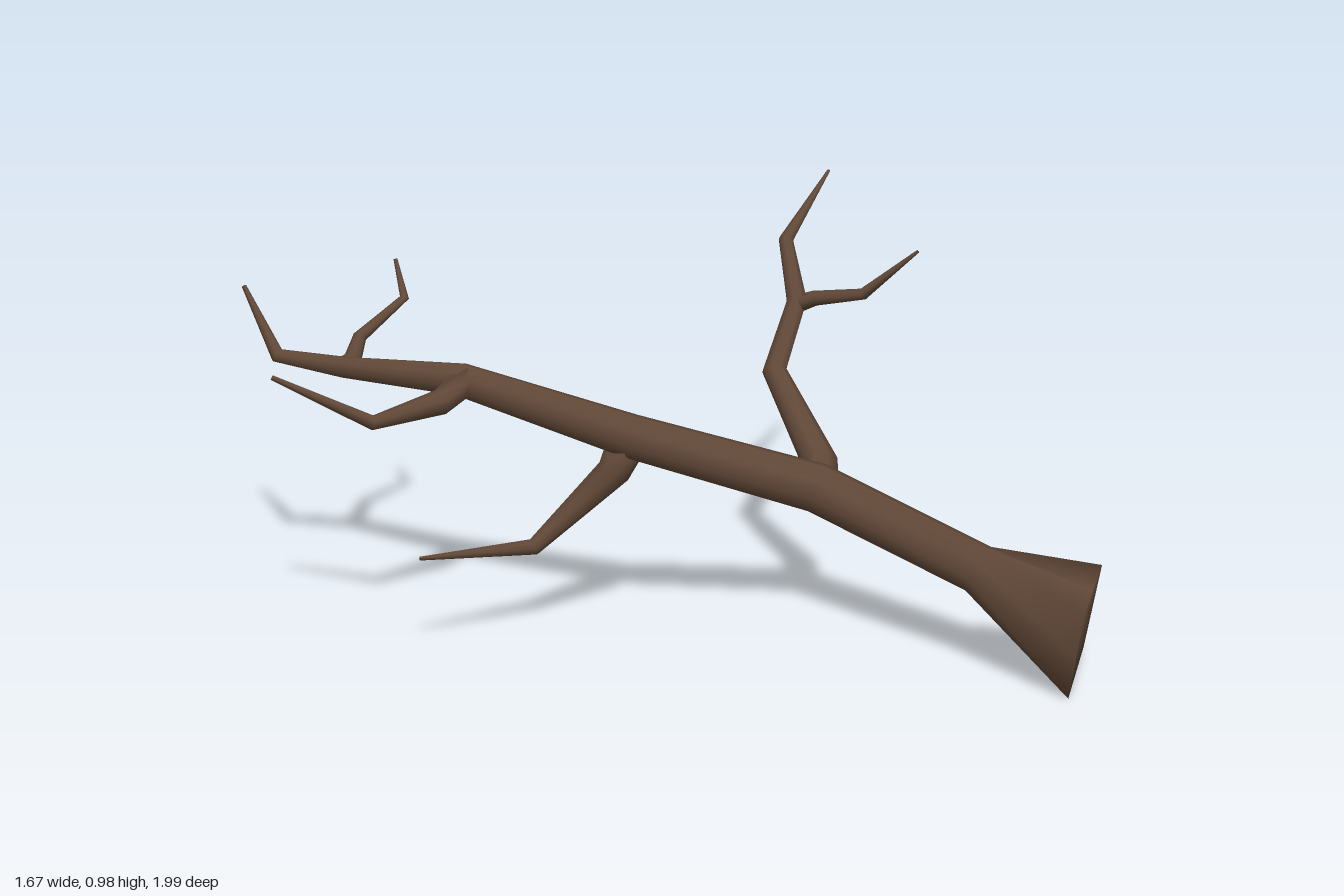
import * as THREE from 'three';

const SIDES = 8;
const V = (p) => new THREE.Vector3(p[0], p[1], p[2]);

// Corners of the square cut end, in order round the limb
const CUT = [[0.39, 0.23, 0.995], [0.595, 0.27, 0.87], [0.6, 0.04, 0.82], [0.405, 0, 0.945]].map(V);

// Tapered limb through points [x, y, z, radius]; cut replaces the first ring
function limb(points, cut) {
  const centres = points.map(V);
  const last = points.length - 1;
  const pos = [];
  const idx = [];
  let normal = cut ? cut[0].clone().sub(centres[0]) : new THREE.Vector3(0.31, 0.9, 0.23);

  centres.forEach((c, i) => {
    const before = c.clone().sub(centres[Math.max(i - 1, 0)]).normalize();
    const after = centres[Math.min(i + 1, last)].clone().sub(c).normalize();
    const t = before.add(after).normalize();
    normal = normal.clone().addScaledVector(t, -normal.dot(t)).normalize();
    const side = t.clone().cross(normal);
    for (let k = 0; k < SIDES; k++) {
      let p;
      if (cut && i === 0) {
        const s = (k * 4) / SIDES;
        const j = Math.floor(s);
        p = cut[j].clone().lerp(cut[(j + 1) % 4], s - j);
      } else {
        const a = (k / SIDES) * Math.PI * 2;
        p = c.clone()
          .addScaledVector(normal, Math.cos(a) * points[i][3])
          .addScaledVector(side, Math.sin(a) * points[i][3]);
      }
      pos.push(p.x, p.y, p.z);
    }
  });

  for (let i = 0; i < last; i++) {
    for (let k = 0; k < SIDES; k++) {
      const n = (k + 1) % SIDES;
      const a = i * SIDES + k, b = i * SIDES + n;
      idx.push(a, b, b + SIDES, a, b + SIDES, a + SIDES);
    }
  }
  // End caps
  const e = last * SIDES;
  for (let k = 1; k < SIDES - 1; k++) {
    idx.push(0, k + 1, k, e, e + k, e + k + 1);
  }

  const g = new THREE.BufferGeometry();
  g.setAttribute('position', new THREE.Float32BufferAttribute(pos, 3));
  g.setIndex(idx);
  g.computeVertexNormals();
  return g;
}

export function createModel() {
  const bark = new THREE.MeshStandardMaterial({ color: 0x614838 });
  bark.name = 'barkBrown';
  const group = new THREE.Group();
  group.name = 'deadBranch';

  const add = (name, points, cut) => {
    const mesh = new THREE.Mesh(limb(points, cut), bark);
    mesh.name = name;
    group.add(mesh);
  };

  // Main limb, flaring to the square cut end
  add('mainLimb', [
    [0.4975, 0.135, 0.9075, 0.15], [0.365, 0.265, 0.68, 0.062], [0.28, 0.365, 0.21, 0.064],
    [-0.12, 0.53, -0.03, 0.056], [-0.37, 0.645, -0.38, 0.042], [-0.455, 0.607, -0.745, 0.028],
    [-0.58, 0.638, -0.86, 0.019], [-0.58, 0.79, -0.995, 0.006],
  ], CUT);

  // Tall side branch and its twig
  add('tallBranch', [
    [0.28, 0.36, 0.22, 0.05], [0.36, 0.39, 0.14, 0.045], [0.425, 0.565, -0.1, 0.032],
    [0.54, 0.72, -0.14, 0.027], [0.585, 0.855, -0.23, 0.019], [0.83, 0.98, -0.325, 0.004],
  ]);
  add('tallBranchTwig', [
    [0.53, 0.71, -0.14, 0.024], [0.565, 0.73, -0.1, 0.02], [0.6, 0.765, 0.04, 0.015],
    [0.655, 0.895, 0.175, 0.004],
  ]);

  // Low drooping branch
  add('lowBranch', [
    [-0.12, 0.52, -0.04, 0.05], [-0.135, 0.43, -0.08, 0.042], [-0.29, 0.235, -0.205, 0.022],
    [-0.61, 0.275, -0.245, 0.005],
  ]);

  // Outer branch near the bend
  add('outerBranch', [
    [-0.36, 0.645, -0.37, 0.038], [-0.46, 0.615, -0.345, 0.032], [-0.655, 0.602, -0.36, 0.018],
    [-0.83, 0.715, -0.52, 0.006],
  ]);

  // Fine twig near the end
  add('endTwig', [
    [-0.46, 0.607, -0.75, 0.026], [-0.41, 0.61, -0.775, 0.023], [-0.345, 0.645, -0.83, 0.018],
    [-0.207, 0.725, -0.82, 0.012], [-0.195, 0.815, -0.87, 0.005],
  ]);

  return group;
}
